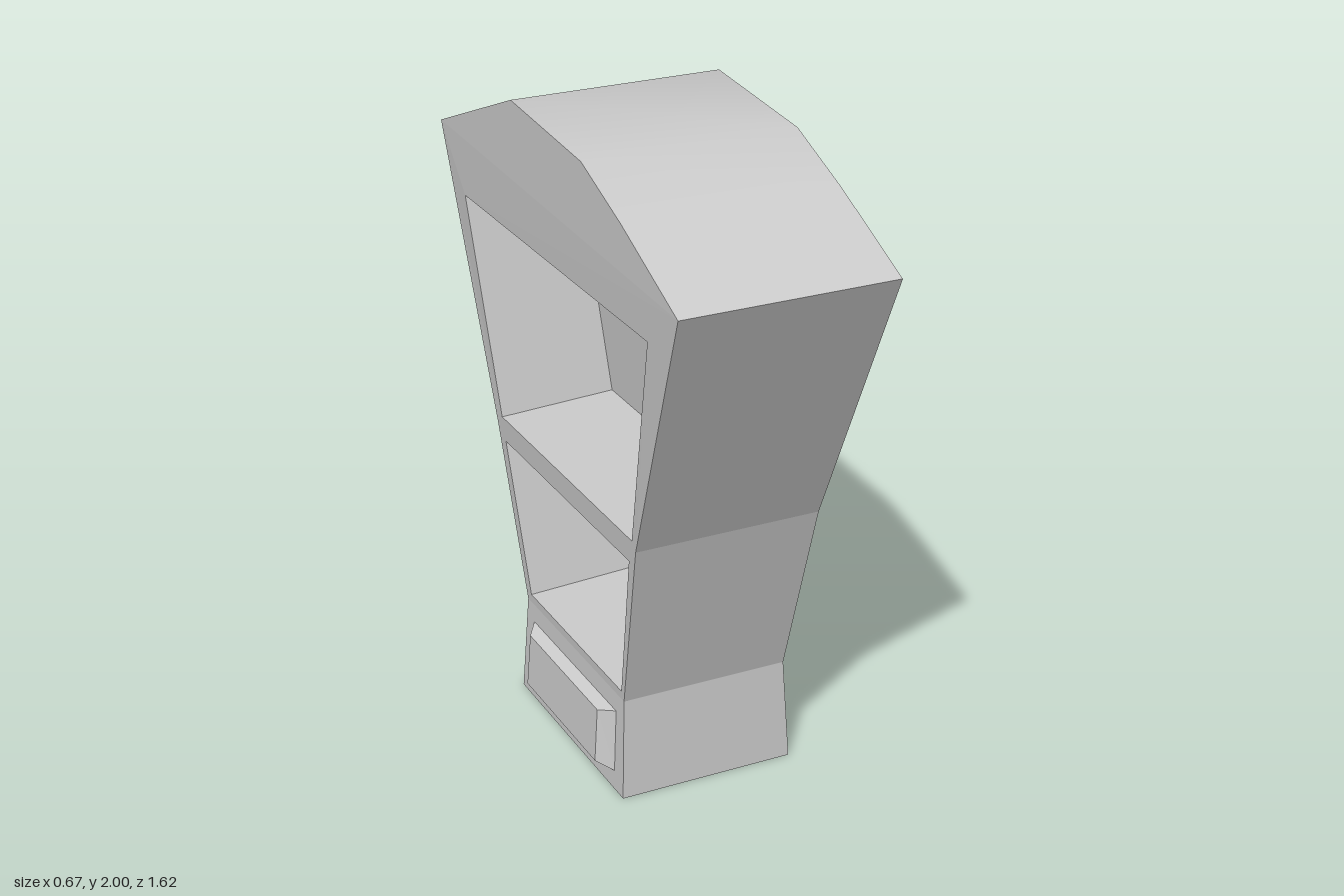
import * as THREE from 'three';

// Side outline as [z, y], running forward along the floor, up the front, over the top, down the back
const FRONT = [[0.35, 0], [0.33, 0.32], [0.47, 0.885], [0.81, 1.72]];
const TOP = [[0.81, 1.72], [0.47, 1.87], [0.22, 1.965], [-0.26, 2], [-0.81, 1.78]];
const BACK = [[-0.81, 1.78], [-0.52, 0.885], [-0.375, 0.32], [-0.395, 0]];

const SLOPE = 0.0486; // sideways lean of the main sides
const RECESS_DEPTH = 0.375;

// Half width of the cabinet at a height
function halfWidth(y) {
  if (y < 0.32) return 0.28 - (0.0145 * y) / 0.32;
  return Math.min(0.25 + SLOPE * y, 0.333);
}

const onSide = (side) => ([z, y]) => [side * halfWidth(y), y, z];

function geometryFrom(points, index) {
  const geometry = new THREE.BufferGeometry();
  geometry.setAttribute('position', new THREE.Float32BufferAttribute(points.flat(), 3));
  geometry.setIndex(index);
  return geometry;
}

function flat(geometry) {
  const result = geometry.toNonIndexed();
  result.computeVertexNormals();
  return result;
}

// Strip across the full width, following part of the outline
function strip(path) {
  const points = [], index = [];
  path.forEach((p, i) => {
    points.push(onSide(1)(p), onSide(-1)(p));
    if (i > 0) {
      const a = 2 * i - 2;
      index.push(a, a + 2, a + 3, a, a + 3, a + 1);
    }
  });
  return geometryFrom(points, index);
}

// Side panel with optional openings, laid onto the leaning side
function sidePanel(outline, openings, side) {
  const vectors = (list) => list.map(([z, y]) => new THREE.Vector2(z, y));
  const shape = new THREE.Shape(vectors(outline));
  openings.forEach((o) => shape.holes.push(new THREE.Path(vectors(o))));
  const source = new THREE.ShapeGeometry(shape);
  const pos = source.attributes.position;
  const points = [];
  for (let i = 0; i < pos.count; i++) points.push(onSide(side)([pos.getX(i), pos.getY(i)]));
  const index = Array.from(source.index.array);
  if (side > 0) index.reverse();
  return flat(geometryFrom(points, index));
}

// Four walls from a rim to an end loop, closed by the end face
function fourSidedCap(rim, end) {
  const index = [4, 5, 6, 4, 6, 7];
  for (let i = 0; i < 4; i++) {
    const j = (i + 1) % 4;
    index.push(i, j, j + 4, i, j + 4, i + 4);
  }
  return flat(geometryFrom([...rim, ...end], index));
}

export function createModel() {
  const group = new THREE.Group();
  const material = new THREE.MeshStandardMaterial({ color: 0xcccccc });
  const add = (name, geometry) => {
    const mesh = new THREE.Mesh(geometry, material);
    mesh.name = name;
    group.add(mesh);
  };

  // Shell: flat front, back and floor, smooth curved top
  add('frontPanel', flat(strip(FRONT)));
  add('backPanel', flat(strip(BACK)));
  add('floorPanel', flat(strip([BACK[3], FRONT[0]])));
  const top = strip(TOP);
  top.computeVertexNormals();
  add('curvedTop', top);

  // Shelf openings, corners: bottom back, bottom front, top front, top back
  const openings = [
    [[-0.48, 0.912], [0.448, 0.912], [0.618, 1.588], [-0.646, 1.588]],
    [[-0.345, 0.348], [0.315, 0.348], [0.421, 0.835], [-0.464, 0.835]],
  ];

  // Sides: base, middle with openings on one side, and top
  const base = [BACK[3], FRONT[0], FRONT[1], BACK[2]];
  const middle = [BACK[2], FRONT[1], FRONT[2], FRONT[3], BACK[0], BACK[1]];
  for (const side of [-1, 1]) {
    const label = side > 0 ? 'left' : 'right';
    add(label + 'BaseSide', sidePanel(base, [], side));
    add(label + 'MiddleSide', sidePanel(middle, side < 0 ? openings : [], side));
    add(label + 'TopSide', sidePanel(TOP, [], side));
  }

  // Shelf recesses pushed straight in from the leaning side
  openings.forEach((opening, i) => {
    const rim = opening.map(onSide(-1));
    const end = rim.map(([x, y, z]) => [x + RECESS_DEPTH, y + RECESS_DEPTH * SLOPE, z]);
    add(i === 0 ? 'upperShelfRecess' : 'lowerShelfRecess', fourSidedCap(rim, end));
  });

  // Drawer front with bevelled edges
  const drawerRim = [[-0.33, 0.06], [0.285, 0.06], [0.28, 0.262], [-0.323, 0.262]].map(onSide(-1));
  const drawerFace = [
    [-0.317, 0.076, -0.275], [-0.317, 0.076, 0.232],
    [-0.306, 0.248, 0.228], [-0.306, 0.248, -0.27],
  ];
  add('drawerFront', fourSidedCap(drawerRim, drawerFace));

  return group;
}
